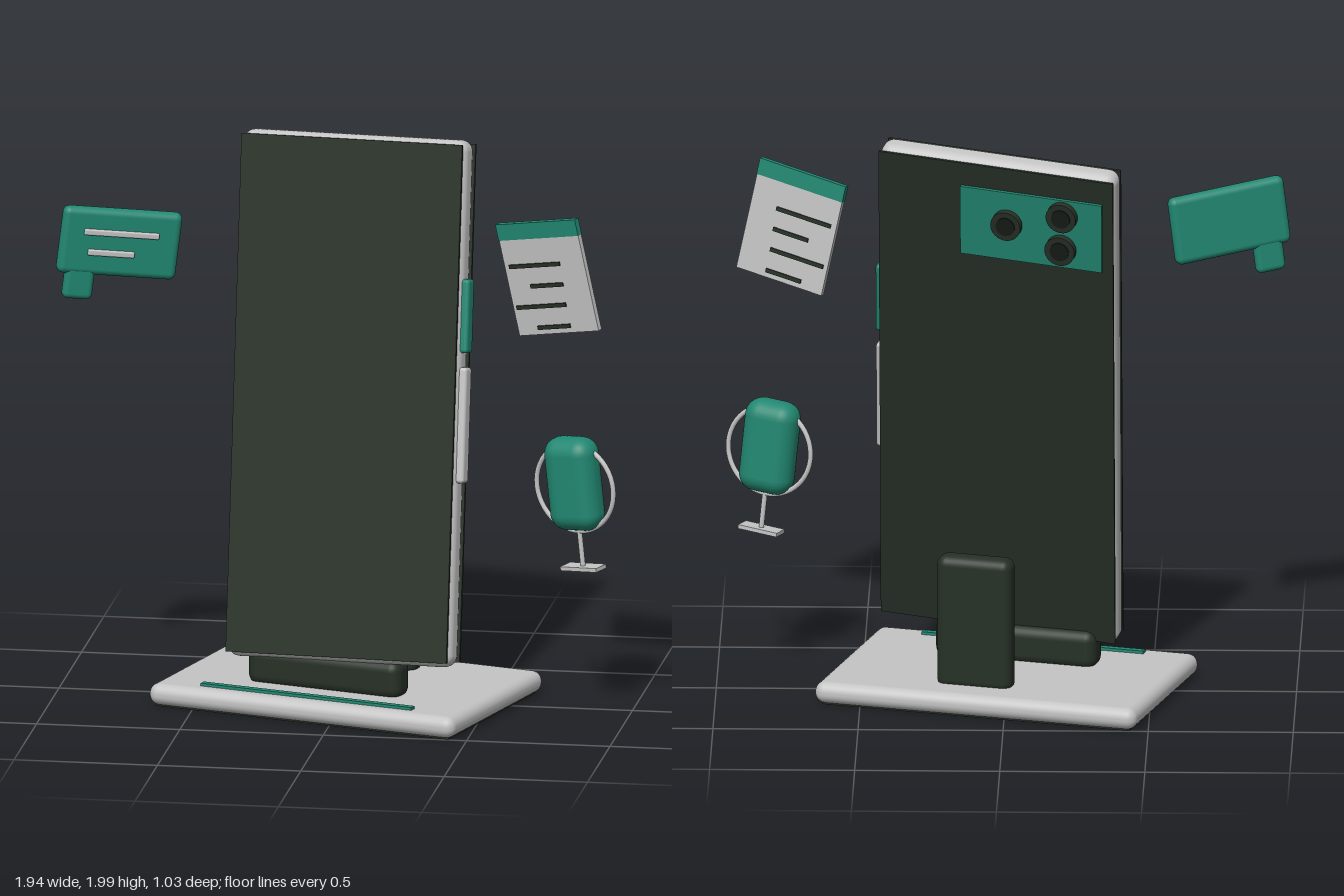
import * as THREE from 'three';
import { RoundedBoxGeometry } from 'three/addons/geometries/RoundedBoxGeometry.js';

const mat = (name, color) => {
  const m = new THREE.MeshStandardMaterial({ color });
  m.name = name;
  return m;
};

export function createModel() {
  const silver = mat('silver', 0xc4c4c4);
  const green = mat('teal green', 0x228872);
  const dark = mat('dark green', 0x263026);
  const black = mat('lens black', 0x171c18);

  const YAW = -0.28;   // the whole stand is turned to one side
  const TILT = -0.2;   // the phone leans back

  const add = (parent, name, geometry, material, x = 0, y = 0, z = 0) => {
    const mesh = new THREE.Mesh(geometry, material);
    mesh.name = name;
    mesh.position.set(x, y, z);
    parent.add(mesh);
    return mesh;
  };
  const box = (w, h, d) => new THREE.BoxGeometry(w, h, d);
  const round = (w, h, d, r) => new RoundedBoxGeometry(w, h, d, 4, r);
  const group = (parent, name, pos, rot, order = 'XYZ') => {
    const g = new THREE.Group();
    g.name = name;
    g.position.set(...pos);
    g.rotation.set(...rot, order);
    parent.add(g);
    return g;
  };

  const model = new THREE.Group();
  model.name = 'phoneOnStand';

  // Stand: base slab, underside pad, front cradle, rear post, accent strip
  const stand = group(model, 'stand', [0, 0, 0], [0, YAW, 0]);
  add(stand, 'base', round(1.16, 0.076, 0.76, 0.036), silver, 0, 0.042, 0);
  add(stand, 'basePad', box(1.11, 0.008, 0.71), dark, 0, 0.004, 0);
  add(stand, 'cradle', round(0.58, 0.14, 0.115, 0.04), dark, 0, 0.135, 0.14);
  add(stand, 'rearPost', round(0.27, 0.475, 0.09, 0.035), dark, 0.044, 0.298, -0.21);
  add(stand, 'accentStrip', box(0.8, 0.02, 0.026), green, 0, 0.08, 0.312);

  // Phone body: frame, screen, back panel, side buttons
  const phone = group(model, 'phone', [0.017, 1.074, 0.001], [TILT, YAW, 0]);
  add(phone, 'frame', round(0.85, 1.82, 0.1, 0.04), silver);
  add(phone, 'screen', box(0.838, 1.79, 0.009), dark, 0, 0, 0.051);
  add(phone, 'backPanel', box(0.845, 1.79, 0.009), dark, 0, 0, -0.051);
  add(phone, 'powerButton', round(0.04, 0.255, 0.052, 0.012), green, 0.427, 0.304, 0);
  add(phone, 'volumeButton', round(0.04, 0.4, 0.052, 0.012), silver, 0.427, -0.073, 0);

  // Camera plate with three lenses
  const camera = group(phone, 'camera', [-0.13, 0.68, -0.06], [0, 0, 0]);
  add(camera, 'cameraPlate', box(0.51, 0.26, 0.014), green);
  for (const [x, y] of [[0.085, 0.01], [-0.115, 0.07], [-0.11, -0.058]]) {
    const rim = new THREE.CylinderGeometry(0.054, 0.054, 0.03, 32).rotateX(Math.PI / 2);
    const glass = new THREE.CylinderGeometry(0.034, 0.034, 0.008, 32).rotateX(Math.PI / 2);
    add(camera, 'lensRim', rim, dark, x, y, -0.016);
    add(camera, 'lensGlass', glass, black, x, y, -0.031);
  }

  // Floating speech bubble
  const bubble = group(model, 'speechBubble', [-0.763, 1.641, 0.175], [0, 0.35, -0.125], 'ZYX');
  add(bubble, 'bubbleBody', round(0.42, 0.24, 0.052, 0.024), green);
  add(bubble, 'bubbleTail', round(0.105, 0.12, 0.046, 0.02), green, -0.126, -0.15, 0);
  add(bubble, 'bubbleLine', round(0.265, 0.022, 0.016, 0.006), silver, 0, 0.037, 0.028);
  add(bubble, 'bubbleLine', round(0.165, 0.022, 0.016, 0.006), silver, -0.029, -0.035, 0.028);

  // Floating note card; its lines show on both faces
  const note = group(model, 'noteCard', [0.744, 1.591, 0.23], [0, -0.41, 0.21], 'ZYX');
  add(note, 'paper', box(0.33, 0.4, 0.02), silver);
  add(note, 'noteHeader', box(0.332, 0.058, 0.024), green, 0, 0.172, 0);
  for (const [x, y, w] of [[-0.039, 0.048, 0.21], [-0.006, -0.026, 0.135],
    [-0.047, -0.099, 0.205], [-0.013, -0.175, 0.135]]) {
    add(note, 'noteLine', box(w, 0.014, 0.032), dark, x, y, 0);
  }

  // Floating microphone
  const mic = group(model, 'microphone', [0.818, 0.834, 0.125], [0, -0.41, 0.1], 'ZYX');
  add(mic, 'micHead', round(0.195, 0.33, 0.13, 0.06), green);
  add(mic, 'micRing', new THREE.TorusGeometry(0.156, 0.009, 10, 48), silver, 0, -0.015, 0);
  add(mic, 'micStem', new THREE.CylinderGeometry(0.009, 0.009, 0.15, 16), silver, 0, -0.225, 0);
  add(mic, 'micFoot', box(0.147, 0.014, 0.065), silver, 0, -0.3, 0);

  return model;
}
